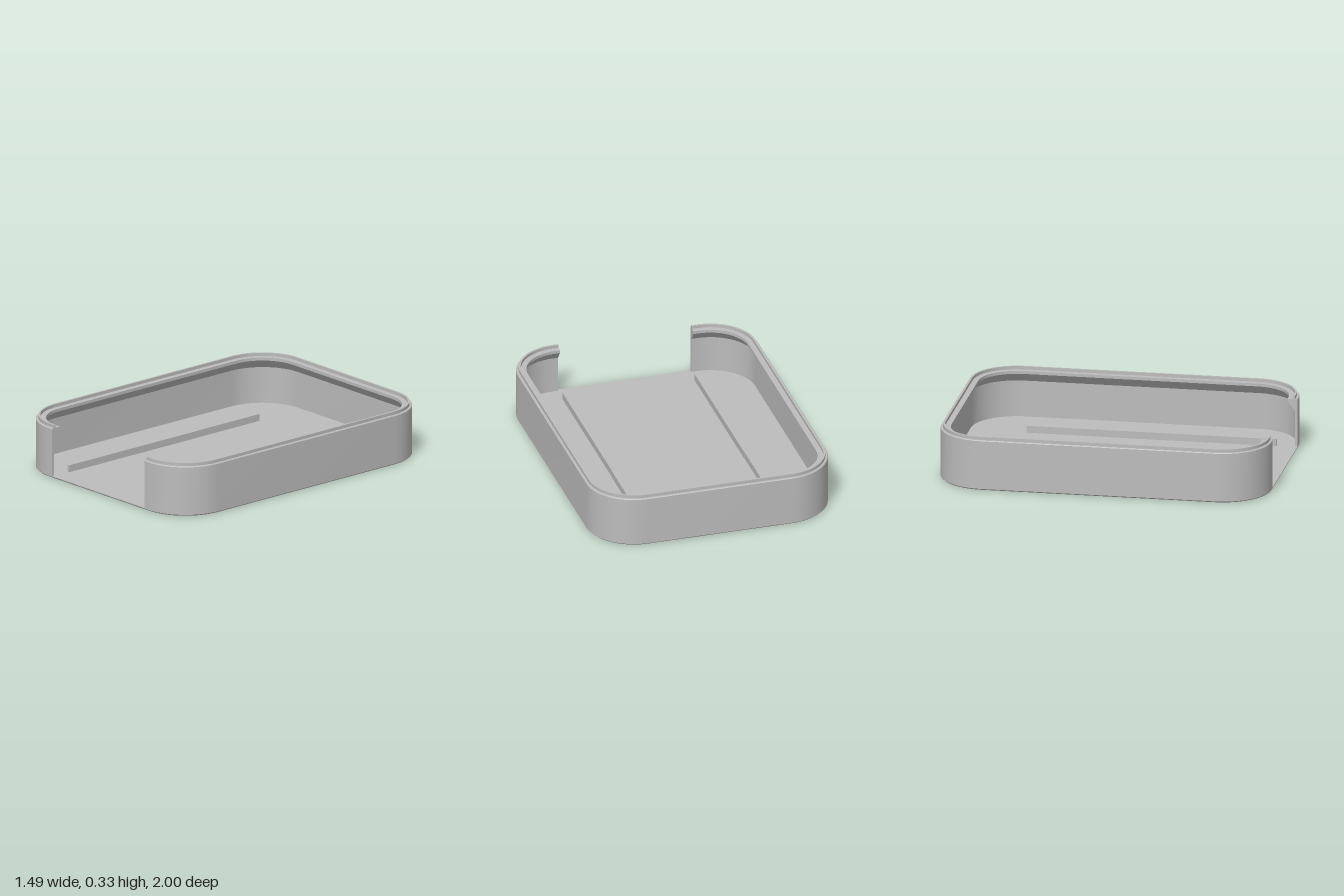
import * as THREE from 'three';
import { toCreasedNormals } from 'three/addons/utils/BufferGeometryUtils.js';

const CX = 0.45, CZ = 0.705, R = 0.295; // corner centres and outer corner radius
const GAP = 0.415;                      // half width of the front opening
const FLOOR = 0.012;
const STEPS = 20;

// Rounded-rectangle outline, from the front centre round the +x side.
// Each station holds a corner centre and an outward direction.
function outline() {
  const stations = [];
  const corners = [[CX, CZ], [CX, -CZ], [-CX, -CZ], [-CX, CZ]];
  corners.forEach(([cx, cz], k) => {
    for (let i = 0; i <= STEPS; i++) {
      const a = Math.PI / 2 * (1 - k - i / STEPS);
      stations.push({ cx, cz, nx: Math.cos(a), nz: Math.sin(a) });
    }
  });
  return stations;
}

// Sweep a profile of [inset, height] points along the stations.
function sweep(stations, profile) {
  const pos = [];
  const at = (s, [inset, y]) => [s.cx + s.nx * (R - inset), y, s.cz + s.nz * (R - inset)];
  for (let i = 0; i < stations.length - 1; i++) {
    for (let j = 0; j < profile.length - 1; j++) {
      const a = at(stations[i], profile[j]), b = at(stations[i + 1], profile[j]);
      const c = at(stations[i + 1], profile[j + 1]), d = at(stations[i], profile[j + 1]);
      pos.push(...a, ...b, ...c, ...a, ...c, ...d);
    }
  }
  const geo = new THREE.BufferGeometry();
  geo.setAttribute('position', new THREE.Float32BufferAttribute(pos, 3));
  return toCreasedNormals(geo, 0.5);
}

// Flat rounded rectangle, facing up or down.
function plate(stations, inset, y, up) {
  const pts = stations.map(s => new THREE.Vector2(
    s.cx + s.nx * (R - inset), s.cz + s.nz * (R - inset)));
  const geo = new THREE.ShapeGeometry(new THREE.Shape(pts));
  geo.rotateX(up ? -Math.PI / 2 : Math.PI / 2);
  return geo.translate(0, y, 0);
}

export function createModel() {
  const group = new THREE.Group();
  const grey = new THREE.MeshStandardMaterial({ color: 0xbcbcbc });
  grey.name = 'grey plastic';
  const add = (name, geo) => {
    const mesh = new THREE.Mesh(geo, grey);
    mesh.name = name;
    group.add(mesh);
    return mesh;
  };

  const ring = outline();

  // Floor with a chamfered lower edge
  add('floorEdge', sweep([...ring, ring[0]], [[0.007, 0], [0, 0.007], [0, FLOOR]]));
  add('floorTop', plate(ring, 0, FLOOR, true));
  add('floorBottom', plate(ring, 0.007, 0, false));

  // Wall with a raised rim and an inner lip, open at the front
  const profile = [
    [0, FLOOR], [0, 0.304], [0.004, 0.308], [0.015, 0.308], [0.015, 0.327], [0.027, 0.327],
    [0.027, 0.308], [0.061, 0.308], [0.061, 0.29], [0.016, 0.235], [0.016, FLOOR],
  ];
  const end = side => ({ cx: side * GAP, cz: CZ, nx: 0, nz: 1 });
  add('wall', sweep([end(1), ...ring, end(-1)], profile));

  // Cut faces of the wall beside the opening
  for (const side of [1, -1]) {
    const shape = new THREE.Shape(profile.map(([u, y]) => new THREE.Vector2(-side * u, y)));
    const cap = new THREE.ShapeGeometry(shape);
    cap.rotateY(-side * Math.PI / 2);
    cap.translate(side * GAP, 0, CZ + R);
    add(side > 0 ? 'leftWallEnd' : 'rightWallEnd', cap);
  }

  // Guide rails on the floor, each in two lengths with a small joint step
  for (const side of [1, -1]) {
    const name = side > 0 ? 'leftRail' : 'rightRail';
    for (const [part, z0, z1, inner] of [['Back', -0.64, -0.15, 0.405], ['Front', -0.15, 0.875, 0.403]]) {
      const box = new THREE.BoxGeometry(0.016, 0.055 - FLOOR, z1 - z0);
      box.translate(side * (inner + 0.008), (0.055 + FLOOR) / 2, (z0 + z1) / 2);
      add(name + part, box);
    }
  }
  return group;
}
